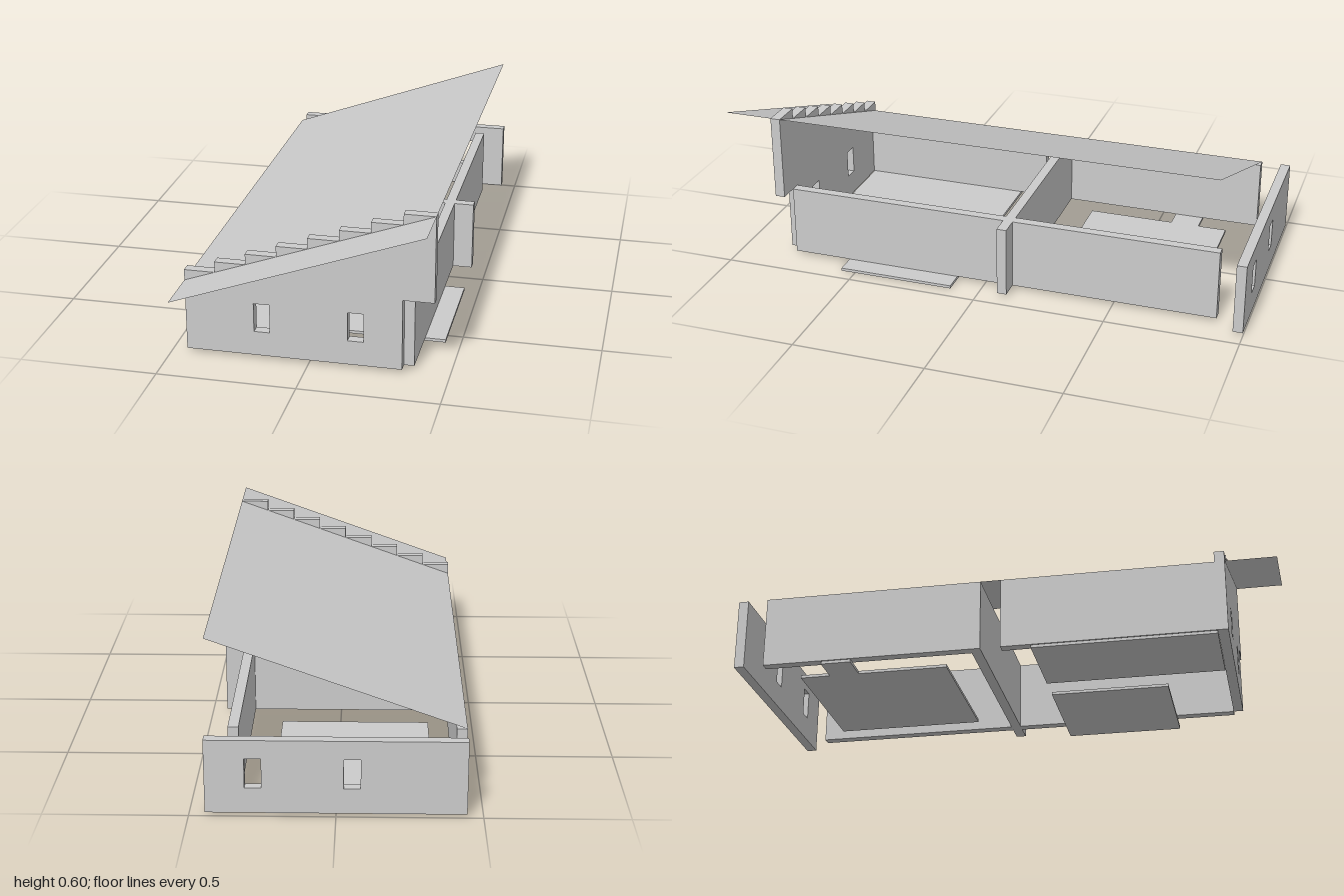
import * as THREE from 'three';

const U = 1 / 9;        // plan module
const T = U / 3;        // wall thickness
const W = 4 * U;        // half width
const BASE = 0.0133;    // underside of walls
const TOP = 0.28;       // top of low walls

export function createModel() {
  const model = new THREE.Group();
  const mat = new THREE.MeshStandardMaterial({ color: 0xcccccc, flatShading: true });
  const thin = new THREE.MeshStandardMaterial({ color: 0xcccccc, side: THREE.DoubleSide });

  const add = (name, geometry, material = mat) => {
    const mesh = new THREE.Mesh(geometry, material);
    mesh.name = name;
    model.add(mesh);
    return mesh;
  };
  // Box given by its extents
  const block = (name, x0, x1, y0, y1, z0, z1) =>
    add(name, new THREE.BoxGeometry(x1 - x0, y1 - y0, z1 - z0))
      .position.set((x0 + x1) / 2, (y0 + y1) / 2, (z0 + z1) / 2);

  // Upright wall cut from an outline, with window openings at the given x
  const windowWall = (name, outline, windows, z) => {
    const shape = new THREE.Shape(outline.map(([x, y]) => new THREE.Vector2(x, y)));
    for (const x of windows) {
      const w = 0.0285, y0 = 0.105, y1 = 0.213;
      shape.holes.push(new THREE.Path([
        new THREE.Vector2(x - w, y0), new THREE.Vector2(x - w, y1),
        new THREE.Vector2(x + w, y1), new THREE.Vector2(x + w, y0),
      ]));
    }
    add(name, new THREE.ExtrudeGeometry(shape, { depth: T, bevelEnabled: false })).position.z = z;
  };

  // Front wall: stepped top, lower corner cut away beside the right-hand wall
  const stepped = [[-W, BASE], [3 * U, BASE], [3 * U, TOP], [W, TOP]];
  for (let i = 7; i >= 0; i--) {
    const y = 0.32 + 0.04 * i;
    stepped.push([-W + (i + 1) * U, y], [-W + i * U, y]);
  }
  windowWall('frontWall', stepped, [-0.168, 0.168], 7 * U);

  // Back wall
  windowWall('backWall', [[-W, BASE], [W, BASE], [W, TOP], [-W, TOP]], [0.28, -0.055], -1);

  // Long side walls, in two stretches each, and the cross wall between rooms
  block('sideWallFrontLeft', 3 * U, 3 * U + T, BASE, TOP, -U + T, 7 * U);
  block('sideWallBackLeft', 3 * U, 3 * U + T, BASE, TOP, -8 * U, -U);
  block('sideWallFrontRight', -W, -W + T, BASE, TOP, 0, 7 * U);
  block('sideWallBackRight', -W, -W + T, BASE, TOP, -8 * U, -U);
  block('crossWall', -W, W, BASE, TOP, -U, -U + T);

  // Floor slabs, in plan modules
  const slab = (name, x0, x1, z0, z1) => block(name, x0 * U, x1 * U, 0, 0.011, z0 * U, z1 * U);
  slab('floorSlabFrontLeft', 0, 4, 1, 5);
  slab('floorSlabFrontRight', -4, -1, 1, 7);
  slab('floorSlabBack', -3, 2, -7, -2);
  slab('floorSlabStep', -4, -3, -6, -5);

  // Sloping sheet roof
  const roof = new THREE.PlaneGeometry(2 * W, 1 + 8 * U).rotateX(-Math.PI / 2);
  const p = roof.attributes.position;
  for (let i = 0; i < p.count; i++) p.setY(i, 0.44 + 0.36 * p.getX(i));
  roof.computeVertexNormals();
  add('roof', roof, thin).position.z = (1 - 8 * U) / 2;

  return model;
}
